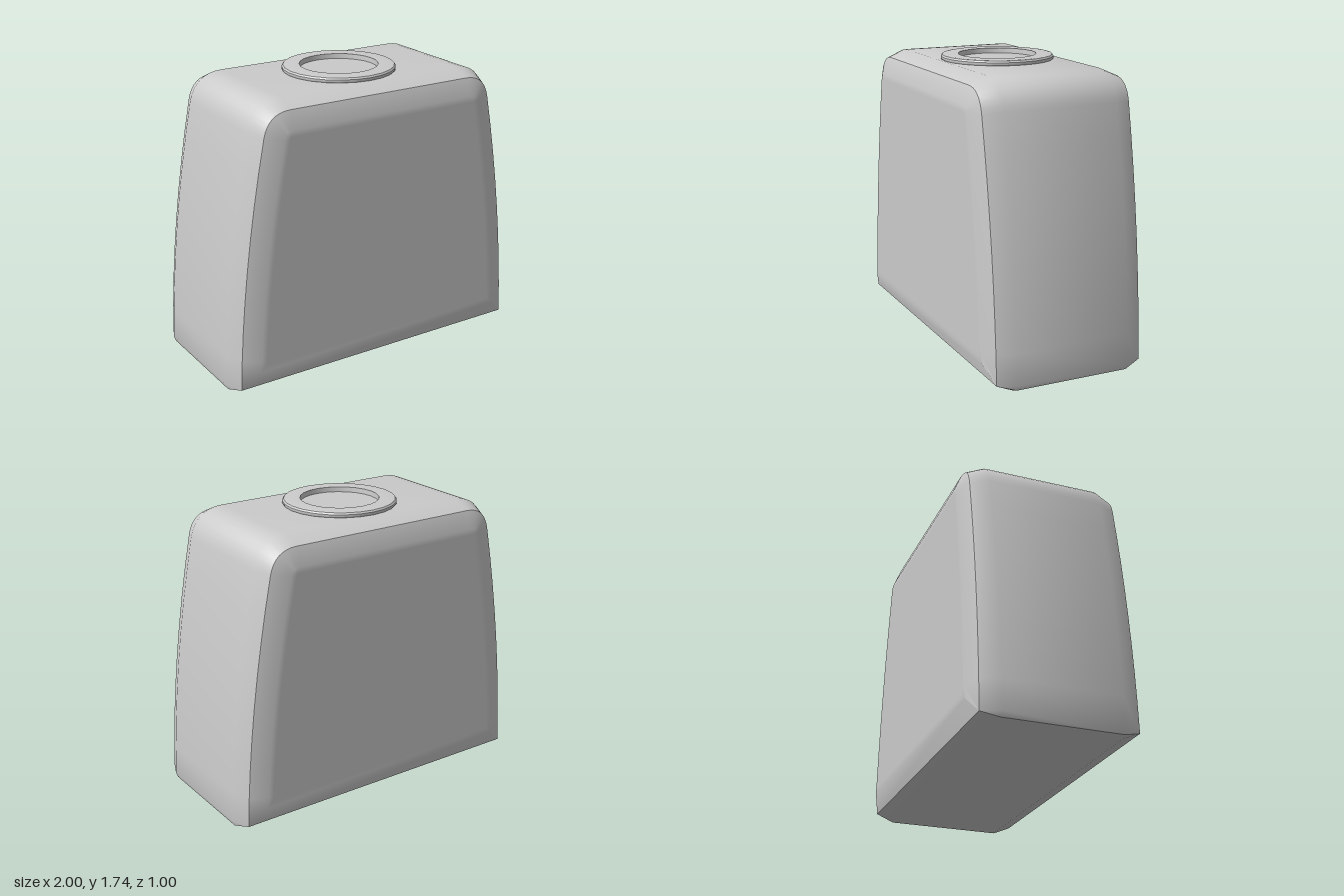
import * as THREE from 'three';
import { toCreasedNormals } from 'three/addons/utils/BufferGeometryUtils.js';

const CREASE = 0.6;

// Reference outline, counterclockwise: points with outward offset directions
function makeOutline() {
  const V = (x, y) => new THREE.Vector2(x, y);
  const side = new THREE.QuadraticBezierCurve(V(0.955, 0.045), V(0.927, 0.77), V(0.77, 1.53));
  const shoulder = new THREE.QuadraticBezierCurve(V(0.77, 1.53), V(0.742, 1.665), V(0.6, 1.665));
  const half = [
    { p: V(0.955, 0.045), n: V(0, -1), corner: true },
    { p: V(0.955, 0.045), n: V(0.707, -0.707), corner: true },
    { p: V(0.955, 0.045), n: V(1, 0), corner: true },
  ];
  const add = (curve, count) => {
    for (let i = 1; i <= count; i++) {
      const t = curve.getTangent(i / count);
      half.push({ p: curve.getPoint(i / count), n: V(t.y, -t.x) });
    }
  };
  add(side, 8);
  add(shoulder, 8);
  const mirrored = half.map(({ p, n, corner }) => ({ p: V(-p.x, p.y), n: V(-n.x, n.y), corner })).reverse();
  return [...half, ...mirrored];
}

// Body: the outline swept front to back, shrinking in bevel steps at both ends
function bodyGeometry() {
  const outline = makeOutline();
  const steps = [[0.35, 0.045], [0.457, 0], [0.5, -0.105], [0.5, -0.14]];
  const sections = [...steps.map(([z, d]) => [-z, d]).reverse(), ...steps];
  const rings = sections.map(([z, d]) => outline.map(({ p, n, corner }) => {
    // inset corners stay sharp, outset corners become rounded
    const dir = corner && d <= 0 ? new THREE.Vector2(Math.sign(p.x), -1) : n;
    return new THREE.Vector3(p.x + dir.x * d, p.y + dir.y * d, z);
  }));

  const positions = [];
  const tri = (a, b, c) => {
    if (a.distanceTo(b) < 1e-5 || b.distanceTo(c) < 1e-5 || c.distanceTo(a) < 1e-5) return;
    for (const v of [a, b, c]) positions.push(v.x, v.y, v.z);
  };
  const count = outline.length;
  const back = new THREE.Vector3(0, 0.85, -0.5);
  const front = new THREE.Vector3(0, 0.85, 0.5);
  for (let j = 0; j < count; j++) {
    const next = (j + 1) % count;
    for (let k = 0; k < rings.length - 1; k++) {
      const lo = rings[k], hi = rings[k + 1];
      tri(lo[j], lo[next], hi[next]);
      tri(lo[j], hi[next], hi[j]);
    }
    tri(back, rings[0][next], rings[0][j]);
    const last = rings[rings.length - 1];
    tri(front, last[j], last[next]);
  }
  const geometry = new THREE.BufferGeometry();
  geometry.setAttribute('position', new THREE.Float32BufferAttribute(positions, 3));
  return toCreasedNormals(geometry, CREASE);
}

// Flat collar around the top opening
function collarGeometry() {
  const profile = [
    [0.33, 1.7], [0.34, 1.715], [0.34, 1.728], [0.332, 1.738], [0.32, 1.74],
    [0.235, 1.74], [0.232, 1.7],
  ].map(([r, y]) => new THREE.Vector2(r, y));
  return toCreasedNormals(new THREE.LatheGeometry(profile, 24), CREASE);
}

export function createModel() {
  const material = new THREE.MeshStandardMaterial({ color: 0xcccccc });
  const group = new THREE.Group();
  const add = (name, geometry) => {
    const mesh = new THREE.Mesh(geometry, material);
    mesh.name = name;
    group.add(mesh);
  };
  add('body', bodyGeometry());
  add('topCollar', collarGeometry());
  return group;
}
